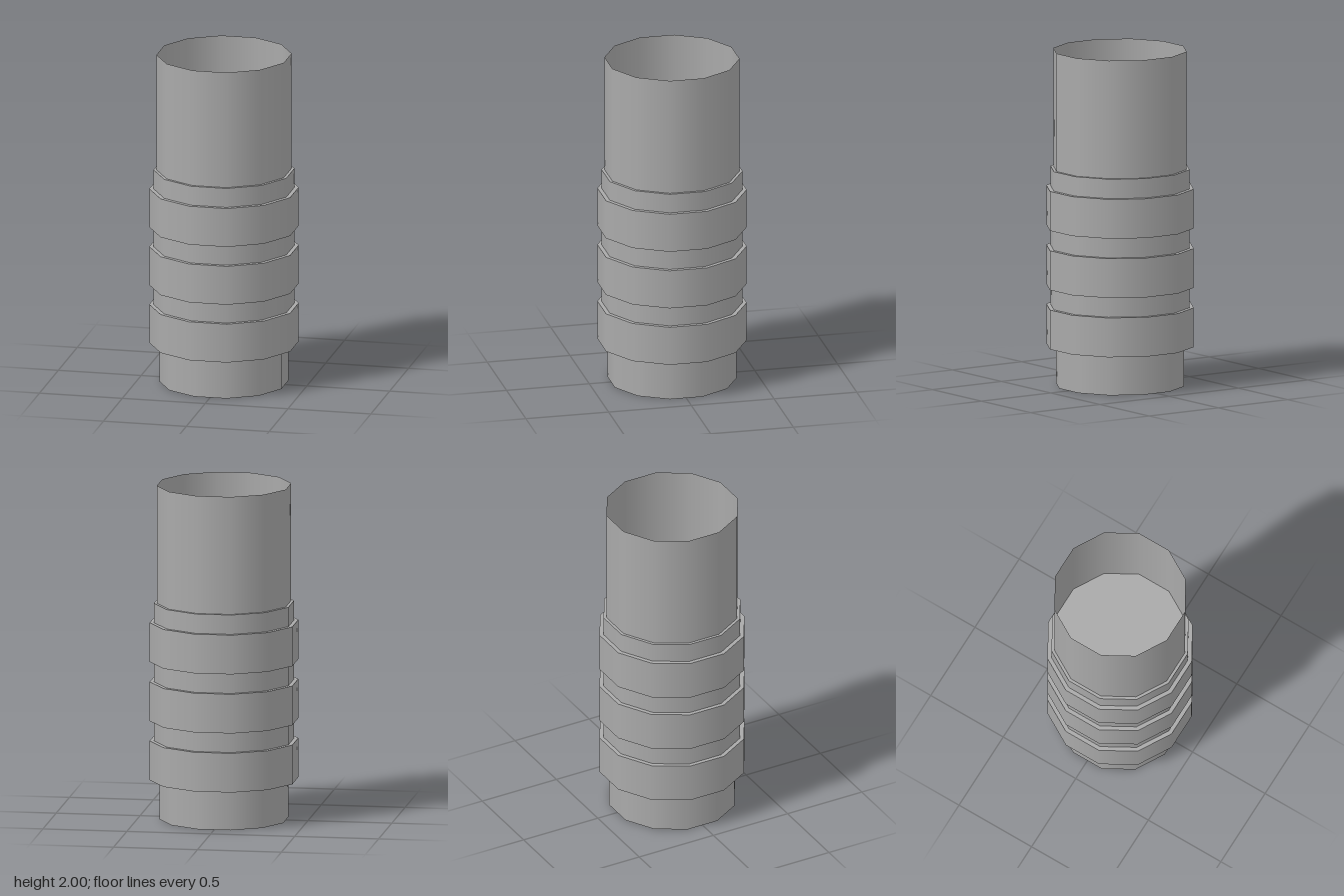
import * as THREE from 'three';

const SIDES = 12;

export function createModel() {
  const group = new THREE.Group();
  const grey = new THREE.MeshStandardMaterial({ color: 0xaaaaaa });
  grey.name = 'grey';
  const greyOpen = new THREE.MeshStandardMaterial({ color: 0xaaaaaa, side: THREE.DoubleSide });
  greyOpen.name = 'grey thin wall';

  // Twelve-sided drum between two heights; flats face the axes
  function drum(name, flatRadius, y0, y1, open) {
    const r = flatRadius / Math.cos(Math.PI / SIDES);
    const geometry = new THREE.CylinderGeometry(r, r, y1 - y0, SIDES, 1, open, Math.PI / SIDES);
    const mesh = new THREE.Mesh(geometry, open ? greyOpen : grey);
    mesh.name = name;
    mesh.position.y = (y0 + y1) / 2;
    group.add(mesh);
  }

  // Thin open tubes above and below the solid core
  drum('lowerTube', 0.368, 0, 0.237, true);
  drum('upperTube', 0.384, 1.296, 2, true);
  drum('core', 0.401, 0.3, 1.296, false);

  // Three raised grip bands
  for (let i = 0; i < 3; i++) {
    const y = 0.237 + i * 0.354;
    drum('gripBand' + (i + 1), 0.425, y, y + 0.235, false);
  }
  return group;
}
